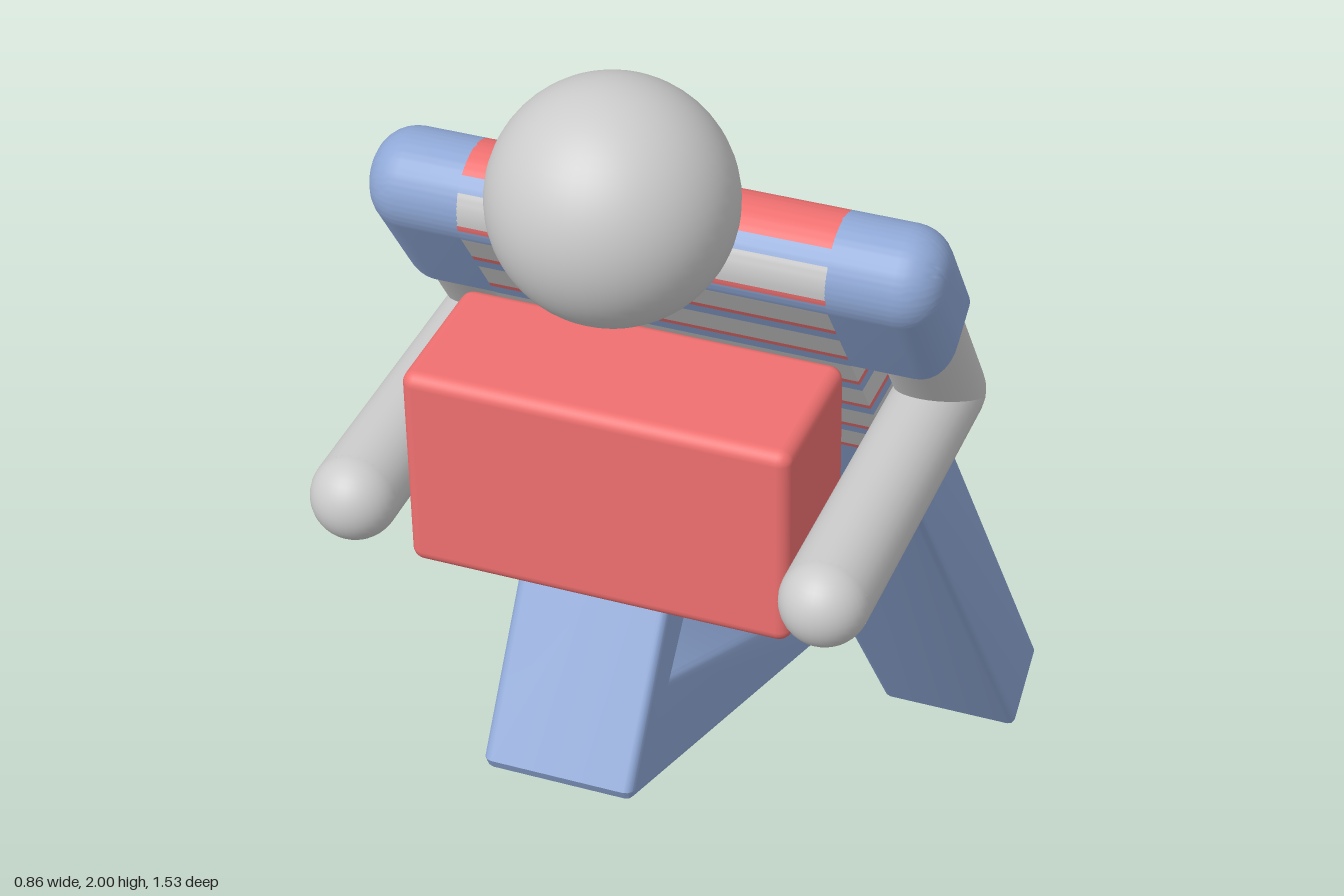
import * as THREE from 'three';
import { RoundedBoxGeometry } from 'three/addons/geometries/RoundedBoxGeometry.js';
import { toCreasedNormals } from 'three/addons/utils/BufferGeometryUtils.js';

const grey = new THREE.MeshStandardMaterial({ color: 0xcccccc });
const blue = new THREE.MeshStandardMaterial({ color: 0x8fa8d6 });
const red = new THREE.MeshStandardMaterial({ color: 0xf07070 });

// The leaning body axis, in (z, y): shoulder centre, half thickness, lean angle
const SZ = 0.405, SY = 1.677, R = 0.077;
const LEAN = Math.atan2(0.56, 0.829);
const UZ = Math.sin(LEAN), UY = Math.cos(LEAN);
const WAIST = 1.175;

function add(parent, name, geometry, material) {
  const mesh = new THREE.Mesh(geometry, material);
  mesh.name = name;
  parent.add(mesh);
  return mesh;
}

// Extrudes a (z, y) side profile from x0 to x1, with rounded side edges
function slab(shape, x0, x1, bevel = 0) {
  const g = new THREE.ExtrudeGeometry(shape, {
    depth: x1 - x0 - 2 * bevel, curveSegments: 24,
    bevelEnabled: bevel > 0, bevelThickness: bevel, bevelSize: bevel,
    bevelOffset: -bevel, bevelSegments: bevel > 0.03 ? 8 : 3,
  });
  g.rotateY(-Math.PI / 2);
  g.translate(x1 - bevel, 0, 0);
  return toCreasedNormals(g, 0.6);
}

const polygon = (pts) => new THREE.Shape(pts.map(([z, y]) => new THREE.Vector2(z, y)));

// Front and back limits of the leaning torso at height y, with its round top
function span(y) {
  const mid = SZ + (y - SY) * UZ / UY;
  const round = Math.sqrt(Math.max(0, R * R - (y - SY) ** 2));
  return [
    y < SY + R * UZ ? mid - R / UY : SZ - round,
    y < SY - R * UZ ? mid + R / UY : SZ + round,
  ];
}

function band(lo, hi) {
  const front = [], back = [];
  const n = 8;
  for (let i = 0; i <= n; i++) {
    const y = lo + (hi - lo) * Math.sin((i / n) * Math.PI / 2);
    const [b, f] = span(y);
    front.push([f, y]);
    back.unshift([b, y]);
  }
  return slab(polygon([...front, ...back]), -0.275, 0.275);
}

// Cylinder between two points
function rod(a, b, r) {
  const d = b.clone().sub(a);
  const g = new THREE.CylinderGeometry(r, r, d.length(), 32);
  g.applyQuaternion(new THREE.Quaternion().setFromUnitVectors(new THREE.Vector3(0, 1, 0), d.normalize()));
  const m = a.clone().add(b).multiplyScalar(0.5);
  return g.translate(m.x, m.y, m.z);
}

function ball(p, r) {
  return new THREE.SphereGeometry(r, 32, 20).translate(p.x, p.y, p.z);
}

function makeArm(side) {
  const arm = new THREE.Group();
  arm.name = side > 0 ? 'leftArm' : 'rightArm';
  const x = 0.354 * side, r = 0.065;
  const shoulder = new THREE.Vector3(x, SY, SZ);
  const elbow = new THREE.Vector3(x, 1.325, 0.17);
  const hand = new THREE.Vector3(x, 1.325, 0.7);
  add(arm, 'upperArm', rod(shoulder, elbow, r), grey);
  add(arm, 'elbow', ball(elbow, r), grey);
  add(arm, 'forearm', rod(elbow, hand, r), grey);
  add(arm, 'hand', ball(hand, r), grey);

  // Sleeve: round over the shoulder, cut square at the cuff
  const L = 0.19, ez = SZ - L * UZ, ey = SY - L * UY;
  const s = new THREE.Shape();
  s.moveTo(ez + R * UY, ey - R * UZ);
  s.lineTo(SZ + R * UY, SY - R * UZ);
  s.absarc(SZ, SY, R, -LEAN, Math.PI - LEAN, false);
  s.lineTo(ez - R * UY, ey + R * UZ);
  s.closePath();
  // The inner rounding is buried in the torso
  const b = 0.06, inner = 0.275 - b, outer = 0.43;
  add(arm, 'sleeve', side > 0 ? slab(s, inner, outer, b) : slab(s, -outer, -inner, b), blue);
  return arm;
}

export function createModel() {
  const model = new THREE.Group();
  model.name = 'figureCarryingBox';

  add(model, 'head', new THREE.SphereGeometry(0.175, 48, 32).translate(0, 1.825, 0.57), grey);
  add(model, 'carriedBox', new RoundedBoxGeometry(0.58, 0.33, 0.24, 3, 0.02).translate(0, 1.365, 0.55), red);

  // Striped torso: level bands of red, grey and blue
  const torso = new THREE.Group();
  torso.name = 'torso';
  for (let i = 0; i < 7; i++) {
    const y = WAIST + i * 0.08;
    add(torso, 'redStripe', band(y, y + 0.01), red);
    add(torso, 'greyStripe', band(y + 0.01, y + 0.06), grey);
    add(torso, 'blueStripe', band(y + 0.06, y + 0.08), blue);
  }
  add(torso, 'collar', band(WAIST + 0.56, SY + R - 0.0002), red);
  model.add(torso);

  for (const side of [1, -1]) model.add(makeArm(side));

  // Hips and legs share the waist line
  const [wb, wf] = span(WAIST);
  add(model, 'hips', slab(polygon([[wb, WAIST], [0.078, 1.052], [wf, WAIST]]), -0.26, 0.26), blue);
  add(model, 'leftLeg', slab(polygon([
    [-0.635, 0], [wf, WAIST], [wb, WAIST], [-0.762, 0.086],
  ]), 0.02, 0.275, 0.015), blue);
  add(model, 'rightLeg', slab(polygon([
    [wf, WAIST], [wb, WAIST], [0.315, 0.775], [-0.31, 0.438],
    [-0.398, 0.3], [0.485, 0.662], [0.493, 0.68],
  ]), -0.275, -0.025, 0.015), blue);

  return model;
}
